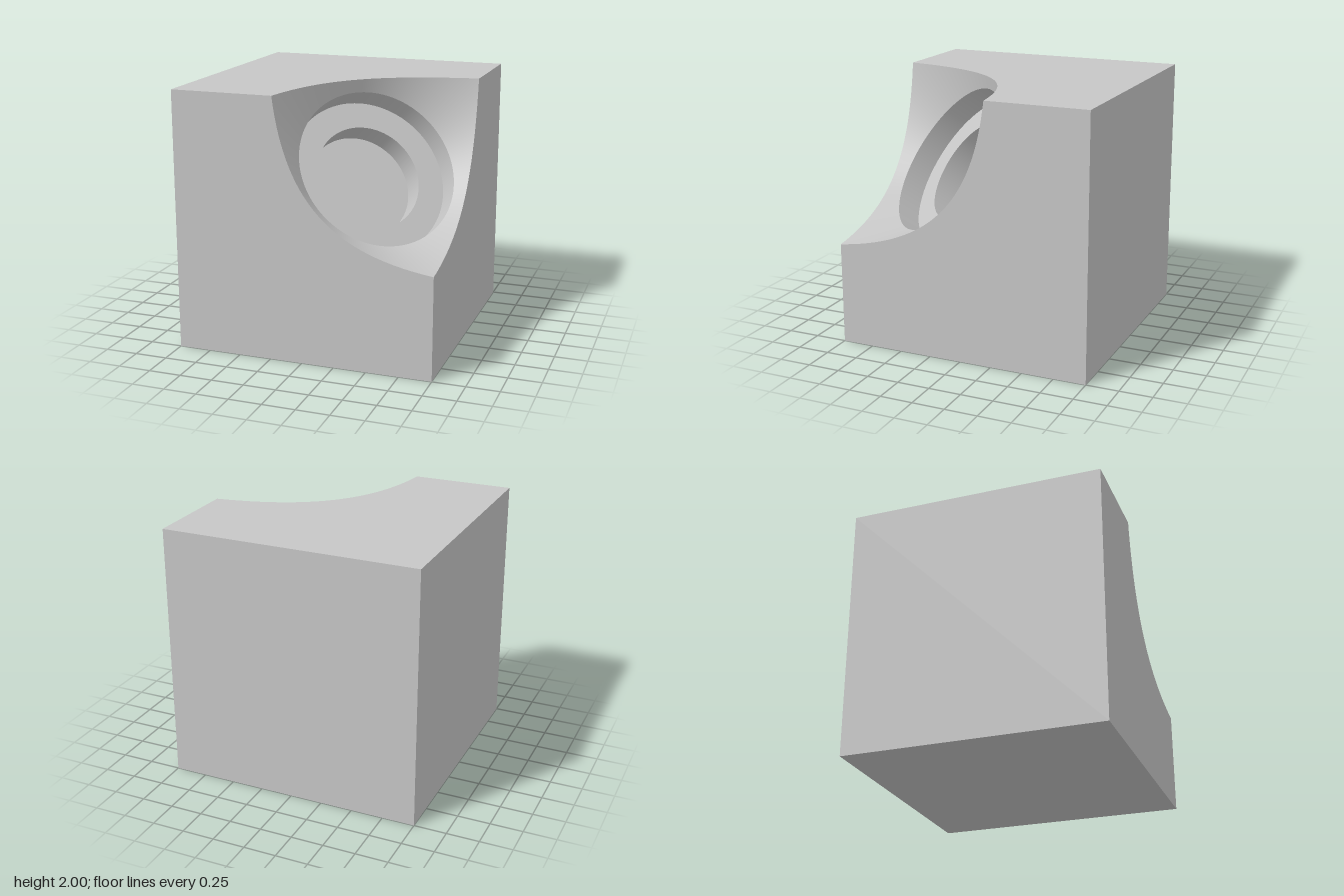
import * as THREE from 'three';

const SEG = 144; // divisible by 3 so that the cube edges fall on a segment
const RIM = 0.625, RIM_H = 0.672; // hole radius, rim distance from centre along the diagonal
const INNER = 0.417, LEDGE_H = 0.477, FLOOR_H = 0.273;

const axis = new THREE.Vector3(1, 1, 1).normalize();
const e1 = new THREE.Vector3(-2, 1, 1).normalize();
const e2 = new THREE.Vector3().crossVectors(axis, e1);

const radial = (i) => {
  const t = (i / SEG) * Math.PI * 2;
  return e1.clone().multiplyScalar(Math.cos(t)).addScaledVector(e2, Math.sin(t));
};

// Point on the 45 degree cone at radius r in direction u
const conePoint = (u, r) =>
  axis.clone().multiplyScalar(RIM_H - RIM + r).addScaledVector(u, r);

// Where the cone line in direction u leaves the cube
function coneExit(u) {
  const apex = (RIM_H - RIM) * axis.x;
  const r = Math.min(...u.toArray().map((c) => {
    const slope = axis.x + c;
    return slope > 0 ? (1 - apex) / slope : Infinity;
  }));
  return conePoint(u, r);
}

// Conical cut, trimmed by the cube faces
function coneGeometry() {
  const pos = [], nor = [], idx = [];
  for (let i = 0; i <= SEG; i++) {
    const u = radial(i);
    const n = axis.clone().sub(u).normalize();
    pos.push(...conePoint(u, RIM).toArray(), ...coneExit(u).toArray());
    nor.push(...n.toArray(), ...n.toArray());
    if (i < SEG) {
      const a = i * 2;
      idx.push(a, a + 1, a + 3, a, a + 3, a + 2);
    }
  }
  const g = new THREE.BufferGeometry();
  g.setAttribute('position', new THREE.Float32BufferAttribute(pos, 3));
  g.setAttribute('normal', new THREE.Float32BufferAttribute(nor, 3));
  g.setIndex(idx);
  return g;
}

// Square face with the corner cut away along the cone
function cutFaceGeometry() {
  const pts = [new THREE.Vector2(-1, -1), new THREE.Vector2(1, -1)];
  for (let i = SEG / 3; i >= 0; i--) {
    const p = coneExit(radial(i));
    pts.push(new THREE.Vector2(p.x, p.y));
  }
  pts.push(new THREE.Vector2(-1, 1));
  return new THREE.ShapeGeometry(new THREE.Shape(pts)).translate(0, 0, 1);
}

export function createModel() {
  const grey = new THREE.MeshStandardMaterial({ color: 0xc6c6c6 });
  grey.name = 'grey';

  const model = new THREE.Group();
  model.name = 'cubeWithCornerPocket';
  const add = (name, geometry) => {
    const mesh = new THREE.Mesh(geometry, grey);
    mesh.name = name;
    mesh.position.y = 1;
    model.add(mesh);
    return mesh;
  };

  // Cube faces: three cut and three whole, repeated around the diagonal
  const cut = cutFaceGeometry();
  const whole = new THREE.PlaneGeometry(2, 2).rotateY(Math.PI).translate(0, 0, -1);
  const cutNames = ['frontFace', 'leftFace', 'topFace'];
  const wholeNames = ['backFace', 'rightFace', 'bottomFace'];
  for (let k = 0; k < 3; k++) {
    const turn = (k * Math.PI * 2) / 3;
    add(cutNames[k], cut).quaternion.setFromAxisAngle(axis, turn);
    add(wholeNames[k], whole).quaternion.setFromAxisAngle(axis, turn);
  }

  add('conicalCut', coneGeometry());

  // Stepped round pocket along the diagonal
  const up = new THREE.Vector3(0, 1, 0);
  const ring = (name, r0, h0, r1, h1) => {
    const profile = [new THREE.Vector2(r0, h0), new THREE.Vector2(r1, h1)];
    add(name, new THREE.LatheGeometry(profile, SEG)).quaternion.setFromUnitVectors(up, axis);
  };
  ring('outerWall', RIM, RIM_H, RIM, LEDGE_H);
  ring('ledge', RIM, LEDGE_H, INNER, LEDGE_H);
  ring('innerWall', INNER, LEDGE_H, INNER, FLOOR_H);
  ring('pocketFloor', INNER, FLOOR_H, 0, FLOOR_H);

  return model;
}
